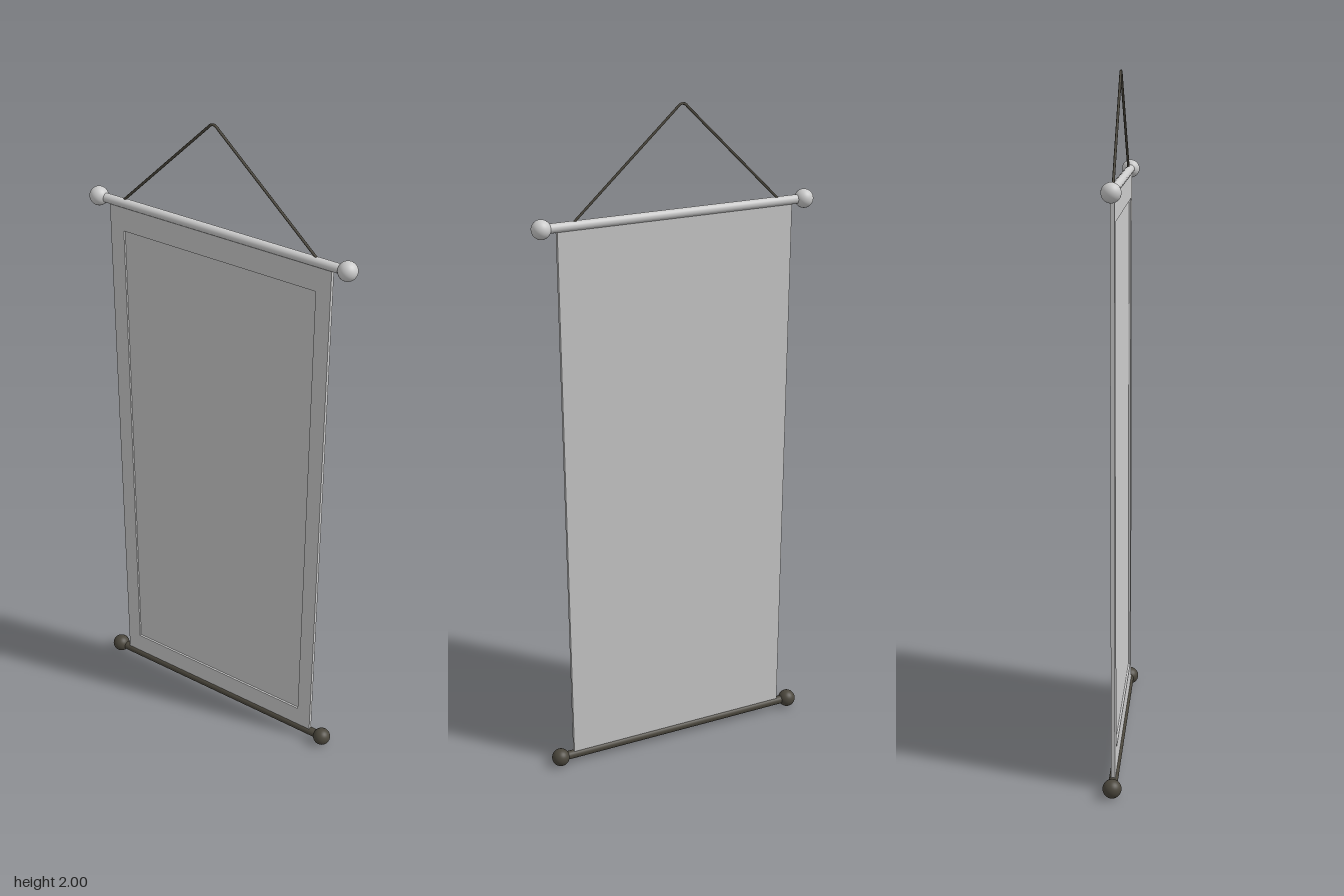
import * as THREE from 'three';

export function createModel() {
  const group = new THREE.Group();
  const grey = new THREE.MeshStandardMaterial({ color: 0xcccccc });
  const dark = new THREE.MeshStandardMaterial({ color: 0x4a463c });

  const add = (name, geometry, material, x = 0, y = 0, z = 0) => {
    const mesh = new THREE.Mesh(geometry, material);
    mesh.name = name;
    mesh.position.set(x, y, z);
    group.add(mesh);
    return mesh;
  };

  const rect = (target, x0, y0, x1, y1) => {
    target.moveTo(x0, y0);
    target.lineTo(x1, y0);
    target.lineTo(x1, y1);
    target.lineTo(x0, y1);
    target.closePath();
    return target;
  };

  // Rods with a ball at each end
  const addRod = (prefix, y, material) => {
    const rod = add(prefix + 'Rod', new THREE.CylinderGeometry(0.0132, 0.0132, 0.78, 24), material, -0.001, y, -0.001);
    rod.rotation.z = Math.PI / 2;
    for (const side of [-1, 1]) {
      add(prefix + (side > 0 ? 'LeftKnob' : 'RightKnob'),
        new THREE.SphereGeometry(0.027, 32, 20), material, side * 0.3945 - 0.001, y, -0.001);
    }
  };
  addRod('top', 1.698, grey);
  addRod('bottom', 0.028, dark);

  // Cloth: a thin backing with a raised border around the recessed panel
  add('clothBacking', new THREE.BoxGeometry(0.705, 1.67, 0.006), grey, -0.002, 0.863, -0.004);
  const border = rect(new THREE.Shape(), -0.3545, 0.028, 0.3505, 1.698);
  border.holes.push(rect(new THREE.Path(), -0.31, 0.107, 0.306, 1.615));
  add('clothBorder', new THREE.ExtrudeGeometry(border, { depth: 0.006, bevelEnabled: false }), grey, 0, 0, -0.001);

  // Hanging cord with a small rounded bend at the top
  const v = (x, y) => new THREE.Vector3(x, y, -0.002);
  const cord = new THREE.CurvePath();
  cord.add(new THREE.LineCurve3(v(-0.313, 1.705), v(-0.032, 1.985)));
  cord.add(new THREE.QuadraticBezierCurve3(v(-0.032, 1.985), v(-0.017, 2.006), v(0, 1.985)));
  cord.add(new THREE.LineCurve3(v(0, 1.985), v(0.304, 1.705)));
  add('hangingCord', new THREE.TubeGeometry(cord, 120, 0.0037, 8), dark);

  return group;
}
